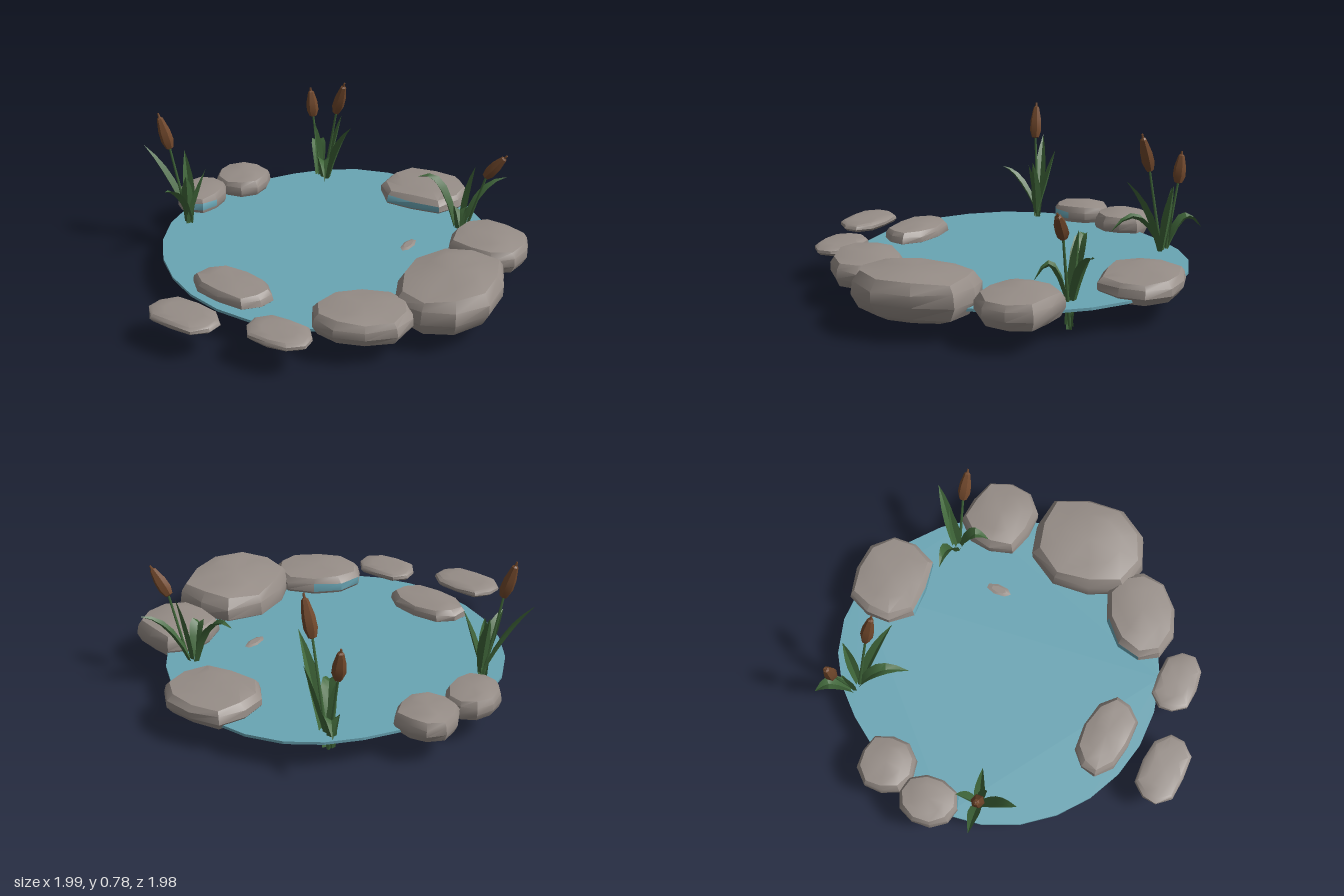
import * as THREE from 'three';
import { toCreasedNormals } from 'three/addons/utils/BufferGeometryUtils.js';

const mat = (name, color, side = THREE.FrontSide) => {
  const m = new THREE.MeshStandardMaterial({ color, side });
  m.name = name;
  return m;
};

const V = (p) => new THREE.Vector3(...p);

// Rock: a rounded-square plan stacked in scaled rings; wet is the direction of the side washed by water
const RINGS = [[0, 0.62], [0.14, 0.88], [0.42, 1], [0.72, 0.98], [0.92, 0.87], [1, 0.55]];
const SIDES = 10;
function rockGeometry({ at: [cx, cz], size: [hx, hz], turn, y: [y0, y1], tilt = 0, wet }, seed) {
  const pos = [], stone = [], water = [];
  const plan = (i, s) => {
    const a = (i + 0.5) / SIDES * Math.PI * 2, c = Math.cos(a), d = Math.sin(a);
    const r = s * Math.pow(Math.abs(c) ** 2.7 + Math.abs(d) ** 2.7, -1 / 2.7) * (1 + 0.035 * Math.sin(i * 2.3 + seed));
    const u = r * c * hx, v = r * d * hz;
    return [u * Math.cos(turn) - v * Math.sin(turn), u * Math.sin(turn) + v * Math.cos(turn)];
  };
  RINGS.forEach(([t, s], k) => {
    for (let i = 0; i < SIDES; i++) {
      const wob = Math.sin(i * 2.1 + k * 1.7 + seed);
      const [dx, dz] = plan(i, k === 2 ? s : s * (1 + 0.025 * wob));
      pos.push(cx + dx, y0 + (y1 - y0) * (t - (k > 2 ? 0.03 * (1 + wob) : 0)) + tilt * dx, cz + dz);
    }
  });
  const bottom = pos.length / 3, top = bottom + 1, rim = bottom - SIDES;
  pos.push(cx, y0, cz, cx, y1, cz);
  for (let i = 0; i < SIDES; i++) {
    const j = (i + 1) % SIDES;
    const [mx, mz] = plan(i + 0.5, 1);
    const washed = wet && (mx * wet[0] + mz * wet[1]) / Math.hypot(mx, mz) > 0.8;
    stone.push(bottom, i, j, top, rim + j, rim + i);
    for (let k = 0; k < RINGS.length - 1; k++) {
      const a = k * SIDES + i, b = k * SIDES + j, c = a + SIDES, d = b + SIDES;
      (washed && k === 2 ? water : stone).push(b, a, c, b, c, d);
    }
  }
  const g = new THREE.BufferGeometry();
  g.setAttribute('position', new THREE.Float32BufferAttribute(pos, 3));
  g.setIndex([...stone, ...water]);
  g.addGroup(0, stone.length, 0);
  g.addGroup(stone.length, water.length, 1);
  return toCreasedNormals(g, 0.6);
}

// Leaf: a folded blade swept from base to tip, three vertices per station
const BLADE = [0.4, 0.65, 0.9, 1, 0.85, 0.5, 0.02];
function leafGeometry(base, bend, tip, width) {
  const curve = new THREE.QuadraticBezierCurve3(V(base), V(bend), V(tip));
  const side = new THREE.Vector3(tip[2] - base[2], 0, base[0] - tip[0]).normalize();
  const pos = [], idx = [], last = BLADE.length - 1;
  BLADE.forEach((w, k) => {
    const p = curve.getPoint(k / last);
    const fold = side.clone().cross(curve.getTangent(k / last)).multiplyScalar(0.35 * w * width);
    for (const s of [-1, 0, 1]) {
      const q = p.clone().addScaledVector(side, s * w * width / 2);
      if (s === 0) q.add(fold);
      pos.push(q.x, q.y, q.z);
    }
    if (k < last) for (const s of [0, 1]) {
      const a = k * 3 + s;
      idx.push(a, a + 1, a + 4, a, a + 4, a + 3);
    }
  });
  const g = new THREE.BufferGeometry();
  g.setAttribute('position', new THREE.Float32BufferAttribute(pos, 3));
  g.setIndex(idx);
  return toCreasedNormals(g, 0.5);
}

// Turn an upright geometry along an axis and stand it at a point
const UP = new THREE.Vector3(0, 1, 0);
const aim = (g, at, axis) => g
  .applyQuaternion(new THREE.Quaternion().setFromUnitVectors(UP, axis.clone().normalize()))
  .translate(at.x, at.y, at.z);

// Tapered rod between two points
function rod(a, b, r0, r1) {
  const axis = b.clone().sub(a), len = axis.length();
  return aim(new THREE.CylinderGeometry(r1, r0, len, 5).translate(0, len / 2, 0), a, axis);
}

// Cattail head: a six-sided spindle
const HEAD = [[0, 0], [0.02, 0.03], [0.033, 0.25], [0.031, 0.55], [0.016, 0.93], [0, 1]];
function headGeometry(at, axis) {
  const points = HEAD.map(([r, t]) => new THREE.Vector2(r, t * axis.length()));
  return toCreasedNormals(aim(new THREE.LatheGeometry(points, 6), at, axis), 0.5);
}

const ROCKS = [
  { at: [.255, -.8], size: [.235, .2], turn: 0, y: [.11, .24], wet: [-.1, .99] },
  { at: [.775, -.355], size: [.2, .185], turn: .3, y: [.1, .26] },
  { at: [.745, .15], size: [.25, .305], turn: .1, y: [.075, .305], tilt: .06 },
  { at: [.455, .525], size: [.24, .175], turn: -.45, y: [.105, .255], wet: [-.8, -.6] },
  { at: [-.23, .535], size: [.215, .125], turn: .18, y: [.11, .22] },
  { at: [-.315, .86], size: [.185, .115], turn: .15, y: [.15, .205] },
  { at: [.155, .805], size: [.165, .11], turn: .12, y: [.15, .205] },
  { at: [-.715, -.48], size: [.145, .145], turn: .2, y: [.115, .25] },
  { at: [-.83, -.22], size: [.125, .15], turn: 0, y: [.12, .25], wet: [.6, .8] },
];

// Clumps: foot, leaves as [bend, tip, width], cattail heads as [lower end, upper end]
const LEFT_CLUMP = {
  base: [-.77, .12, .02],
  leaves: [[[-.83, .42, .03], [-1, .58, .06], .06], [[-.76, .3, .02], [-.66, .49, .02], .055],
    [[-.77, .42, .1], [-.78, .43, .23], .06], [[-.77, .35, 0], [-.83, .53, -.06], .06], [[-.77, .35, .03], [-.75, .45, .07], .06]],
  cattails: [[[-.84, .59, .06], [-.89, .77, .07]]],
};
const BACK_CLUMP = {
  base: [-.36, .07, -.78],
  leaves: [[[-.28, .4, -.74], [-.12, .56, -.63], .06], [[-.41, .47, -.85], [-.48, .26, -.95], .08],
    [[-.31, .5, -.68], [-.23, .26, -.53], .07], [[-.32, .35, -.79], [-.27, .52, -.84], .055], [[-.37, .3, -.79], [-.42, .47, -.8], .055]],
  cattails: [[[-.44, .49, -.83], [-.46, .645, -.84]], [[-.25, .59, -.72], [-.19, .775, -.69]]],
};
const RIGHT_CLUMP = {
  base: [.55, .01, -.53],
  leaves: [[[.48, .52, -.54], [.31, .4, -.54], .07], [[.6, .42, -.58], [.75, .42, -.69], .06],
    [[.57, .5, -.47], [.61, .24, -.37], .07], [[.56, .33, -.54], [.61, .5, -.58], .055]],
  cattails: [[[.68, .48, -.53], [.78, .61, -.53]]],
};

export function createModel() {
  const stone = mat('stone', 0x968d87), blue = mat('water blue', 0x69a5b4);
  const green = mat('leaf green', 0x40673a, THREE.DoubleSide), brown = mat('cattail brown', 0x70472b);
  const group = (name, parent) => {
    const g = new THREE.Group();
    g.name = name;
    if (parent) parent.add(g);
    return g;
  };
  const add = (parent, name, geometry, material) => {
    const m = new THREE.Mesh(geometry, material);
    m.name = name;
    parent.add(m);
  };
  const root = group('pond');

  // Thin round sheet of water, drawn in a little at the back left
  const shore = new THREE.Shape(Array.from({ length: 28 }, (_, i) => {
    const a = i / 28 * Math.PI * 2;
    const r = 0.855 - 0.085 * Math.max(0, Math.cos(a - 3.8)) ** 6;
    return new THREE.Vector2(-0.03 + r * Math.cos(a), -0.12 + r * Math.sin(a));
  }));
  const sheet = new THREE.ExtrudeGeometry(shore, { depth: 0.014, bevelEnabled: false });
  add(root, 'water', sheet.rotateX(Math.PI / 2).translate(0, 0.155, 0), blue);

  // Stone just breaking the surface
  const shallow = new THREE.CylinderGeometry(0.6, 1, 0.006, 7).scale(0.03, 1, 0.07).rotateY(-0.1);
  add(root, 'submergedStone', shallow.translate(0.38, 0.158, -0.24), stone);

  // Ring of rocks
  const rocks = group('rocks', root);
  ROCKS.forEach((rock, i) => add(rocks, 'rock' + (i + 1), rockGeometry(rock, i * 1.3), [stone, blue]));

  // Clumps of cattails
  [LEFT_CLUMP, BACK_CLUMP, RIGHT_CLUMP].forEach(({ base, leaves, cattails }, i) => {
    const clump = group('cattailClump' + (i + 1), root);
    leaves.forEach(([bend, tip, width], k) => {
      const a = k * 2.4;
      const foot = [base[0] + 0.018 * Math.cos(a), base[1] + 0.008 * k, base[2] + 0.018 * Math.sin(a)];
      add(clump, 'leaf', leafGeometry(foot, bend, tip, width), green);
    });
    cattails.forEach(([low, high]) => {
      const a = V(low), axis = V(high).sub(a);
      const along = (t) => a.clone().addScaledVector(axis, t);
      add(clump, 'stem', rod(V(base), along(0.1), 0.009, 0.006), green);
      add(clump, 'cattailHead', headGeometry(a, axis), brown);
      add(clump, 'headTip', rod(along(0.92), along(1.08), 0.008, 0.005), brown);
    });
  });
  return root;
}
